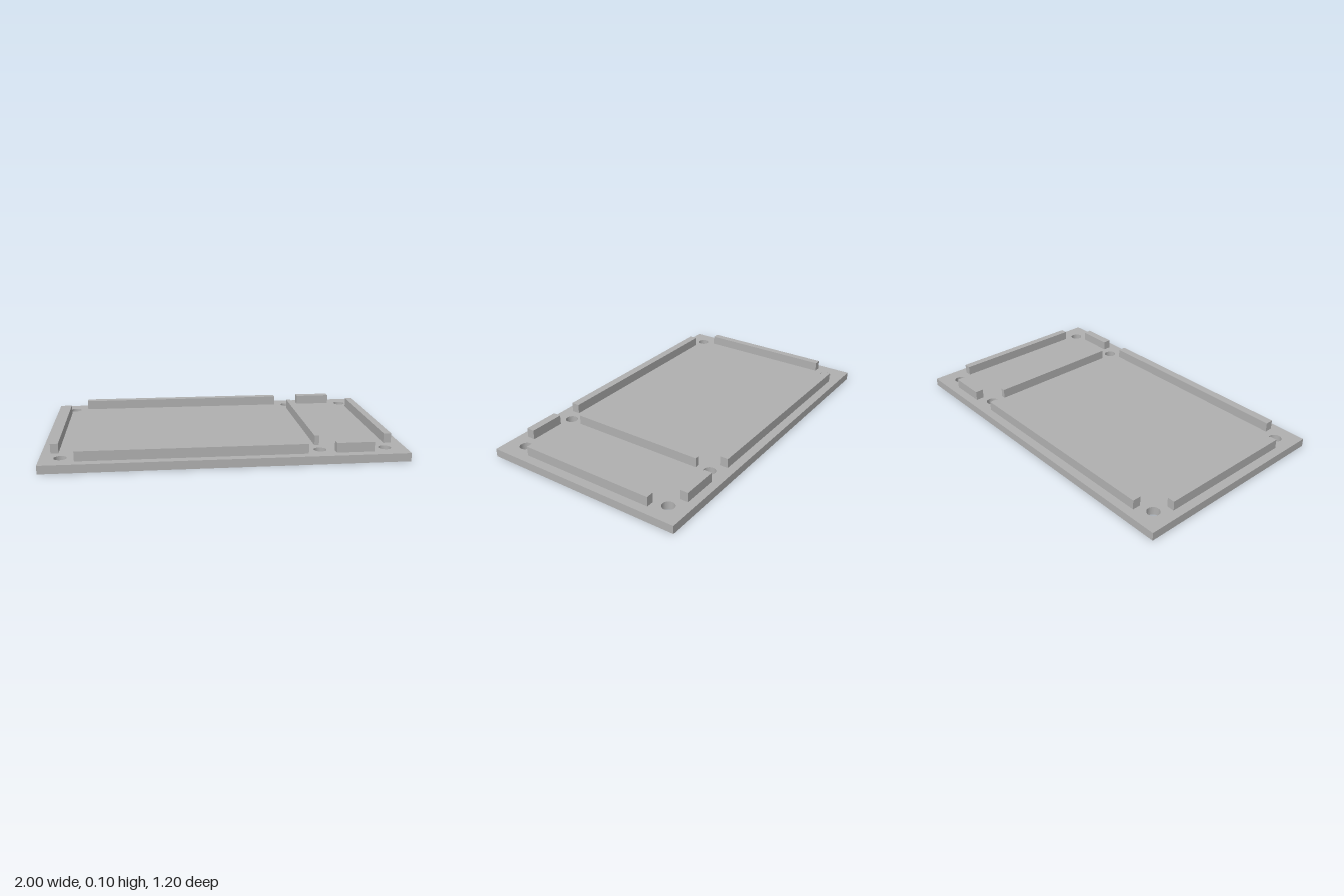
import * as THREE from 'three';

export function createModel() {
  const model = new THREE.Group();
  const grey = new THREE.MeshStandardMaterial({ color: 0xb0b0b0 });
  grey.name = 'grey';

  const halfX = 1, halfZ = 0.598, plateH = 0.047, topY = 0.102;

  // Base plate with six through holes
  const outline = new THREE.Shape();
  outline.moveTo(-halfX, -halfZ);
  outline.lineTo(halfX, -halfZ);
  outline.lineTo(halfX, halfZ);
  outline.lineTo(-halfX, halfZ);
  outline.closePath();
  for (const x of [-0.89, 0.517, 0.886]) {
    for (const z of [-0.486, 0.486]) {
      const hole = new THREE.Path();
      hole.absarc(x, z, 0.035, 0, Math.PI * 2, true);
      outline.holes.push(hole);
    }
  }
  const plateGeometry = new THREE.ExtrudeGeometry(outline, {
    depth: plateH, bevelEnabled: false, curveSegments: 32,
  });
  plateGeometry.rotateX(-Math.PI / 2);
  const plate = new THREE.Mesh(plateGeometry, grey);
  plate.name = 'basePlate';
  model.add(plate);

  // Raised ribs standing on the plate
  function addRib(name, x0, x1, z0, z1) {
    const h = topY - plateH;
    const rib = new THREE.Mesh(new THREE.BoxGeometry(x1 - x0, h, z1 - z0), grey);
    rib.position.set((x0 + x1) / 2, plateH + h / 2, (z0 + z1) / 2);
    rib.name = name;
    model.add(rib);
  }

  // Ribs along the front and back edges
  for (const [side, z0, z1] of [['front', 0.501, 0.549], ['back', -0.549, -0.501]]) {
    addRib(side + 'LongRib', -0.812, 0.44, z0, z1);
    addRib(side + 'ShortRib', 0.595, 0.808, z0, z1);
  }

  // Ribs running front to back, with the thin divider between the two bays
  addRib('rightRib', -0.95, -0.907, -0.406, 0.406);
  addRib('dividerRib', 0.504, 0.53, -0.406, 0.406);
  addRib('leftRib', 0.905, 0.948, -0.406, 0.406);

  return model;
}
